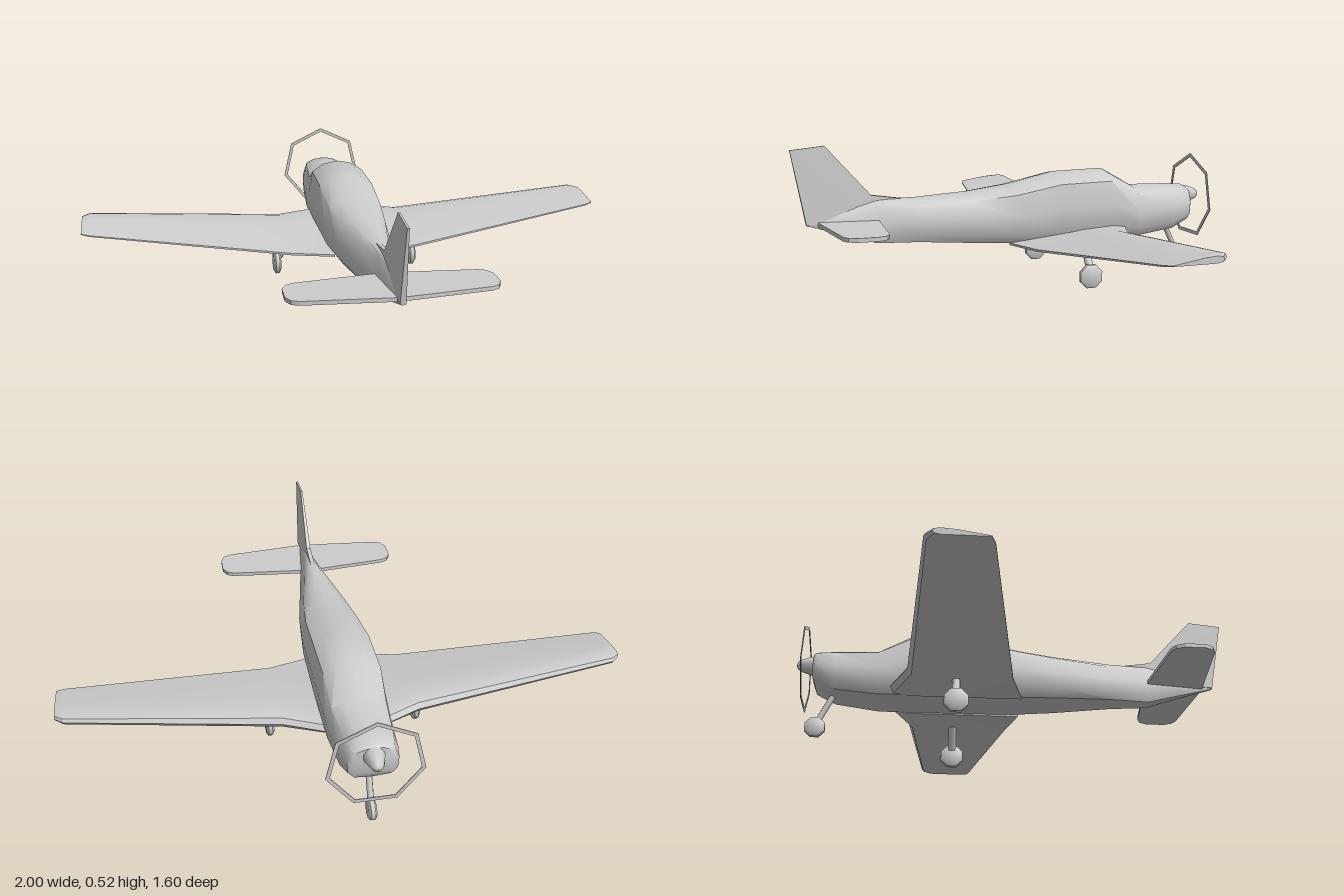
import * as THREE from 'three';
import { toCreasedNormals } from 'three/addons/utils/BufferGeometryUtils.js';

const material = new THREE.MeshStandardMaterial({ color: 0xcccccc });

function add(parent, name, geometry) {
  const mesh = new THREE.Mesh(geometry, material);
  mesh.name = name;
  parent.add(mesh);
  return mesh;
}

// Skin a list of closed cross-sections and cap both ends.
function loft(rings, crease) {
  const n = rings[0].length, last = rings.length - 1;
  const points = rings.flat();
  const index = [];
  for (let i = 0; i < last; i++) {
    for (let j = 0; j < n; j++) {
      const a = i * n + j, b = i * n + (j + 1) % n;
      index.push(a, a + n, b, b, a + n, b + n);
    }
  }
  for (const end of [0, last]) {
    const centre = rings[end].reduce((s, p) => s.add(p), new THREE.Vector3()).divideScalar(n);
    const c = points.push(centre) - 1;
    for (let j = 0; j < n; j++) {
      const a = end * n + j, b = end * n + (j + 1) % n;
      index.push(c, ...(end ? [b, a] : [a, b]));
    }
  }
  const geometry = new THREE.BufferGeometry().setFromPoints(points);
  geometry.setIndex(index);
  return toCreasedNormals(geometry, crease);
}

function polygon(corners) {
  return new THREE.Shape(corners.map(([x, y]) => new THREE.Vector2(x, y)));
}

// Thin plate centred on its own plane.
function plate(corners, depth) {
  const geometry = new THREE.ExtrudeGeometry(polygon(corners), { depth, bevelEnabled: false });
  return geometry.translate(0, 0, -depth / 2);
}

function strut(parent, from, to, radius) {
  const a = new THREE.Vector3(...from), b = new THREE.Vector3(...to);
  const mesh = add(parent, 'strut', new THREE.CylinderGeometry(radius, radius, a.distanceTo(b), 8));
  mesh.position.copy(a).add(b).multiplyScalar(0.5);
  mesh.quaternion.setFromUnitVectors(new THREE.Vector3(0, 1, 0), b.sub(a).normalize());
}

// Eight-sided wheel with chamfered shoulders, axle along x.
function wheel(parent, radius, width, x, y, z) {
  const h = width / 2;
  const profile = [[0, -h], [radius * 0.75, -h], [radius, -h * 0.5], [radius, h * 0.5], [radius * 0.75, h], [0, h]];
  const lathe = new THREE.LatheGeometry(profile.map(([r, t]) => new THREE.Vector2(r, t)), 8, Math.PI / 8);
  const mesh = add(parent, 'wheel', toCreasedNormals(lathe, 0.9));
  mesh.rotation.z = Math.PI / 2;
  mesh.position.set(x, y, z);
}

function fuselageGeometry() {
  // z, half width, bottom, top, narrowing of the upper corners
  const stations = [
    [-0.73, 0.07, 0.215, 0.315, 0.85],
    [-0.72, 0.085, 0.19, 0.323, 0.85],
    [-0.65, 0.098, 0.157, 0.328, 0.85],
    [-0.495, 0.11, 0.138, 0.332, 0.88],
    [-0.375, 0.115, 0.136, 0.4, 0.9],
    [-0.175, 0.115, 0.138, 0.396, 0.92],
    [0, 0.112, 0.141, 0.358, 0.9],
    [0.155, 0.098, 0.15, 0.338, 0.85],
    [0.36, 0.062, 0.163, 0.325, 0.75],
    [0.5, 0.038, 0.165, 0.325, 0.55],
    [0.63, 0.02, 0.206, 0.29, 0.5],
    [0.75, 0.004, 0.242, 0.252, 0.6],
  ];
  const side = [[0.55, 0.96], [0.96, 0.85], [1, 0.5], [0.96, 0.2], [0.72, 0.03]];
  return loft(stations.map(([z, w, low, high, narrow]) => {
    const at = (u, v) => new THREE.Vector3(u * w * (v > 0.7 ? narrow : 1), low + (high - low) * v, z);
    return [
      at(0, 1), ...side.map(([u, v]) => at(u, v)),
      at(0, 0), ...side.slice().reverse().map(([u, v]) => at(-u, v)),
    ];
  }), 0.8);
}

function wingGeometry() {
  // x, leading edge z, trailing edge z, bottom, top
  const stations = [
    [0.08, -0.455, 0.025, 0.14, 0.193],
    [0.24, -0.385, -0.018, 0.142, 0.199],
    [0.97, -0.335, -0.127, 0.228, 0.262],
    [1, -0.31, -0.14, 0.234, 0.257],
  ];
  const section = [[1, 0.16], [0.4, 0.85], [0.14, 1], [0.03, 0.85], [0, 0.5], [0.04, 0.15], [0.16, 0], [1, 0.02]];
  return loft(stations.map(([x, front, back, low, high]) => section.map(([u, v]) =>
    new THREE.Vector3(x, low + (high - low) * v, front + (back - front) * u))), 0.6);
}

export function createModel() {
  const model = new THREE.Group();
  model.name = 'lightAircraft';

  add(model, 'fuselage', fuselageGeometry());

  // Wings and main landing gear, mirrored
  const wing = wingGeometry();
  for (const [side, sign] of [['left', 1], ['right', -1]]) {
    const half = new THREE.Group();
    half.name = side + 'Side';
    half.scale.x = sign;
    add(half, side + 'Wing', wing);
    const gear = new THREE.Group();
    gear.name = side + 'MainGear';
    strut(gear, [0.21, 0.16, -0.215], [0.262, 0.07, -0.215], 0.015);
    wheel(gear, 0.045, 0.028, 0.27, 0.046, -0.215);
    half.add(gear);
    model.add(half);
  }

  // Tailplane with clipped tips
  const outline = [[0, 0.495], [0.31, 0.527], [0.335, 0.54], [0.35, 0.57], [0.35, 0.64], [0.335, 0.67], [0.31, 0.682], [0, 0.712]];
  const mirrored = outline.slice(1, -1).reverse().map(([x, z]) => [-x, z]);
  const tailplane = add(model, 'tailplane', plate([...outline, ...mirrored], 0.014));
  tailplane.rotation.x = Math.PI / 2;
  tailplane.position.y = 0.246;

  // Fin, tapering from root to top
  const fin = plate([[-0.75, 0.245], [-0.8, 0.508], [-0.68, 0.52], [-0.52, 0.34], [-0.4, 0.322], [-0.5, 0.26]], 0.02);
  const p = fin.attributes.position;
  for (let i = 0; i < p.count; i++) {
    const taper = 1 - 0.65 * (p.getY(i) - 0.245) / 0.275;
    p.setZ(i, p.getZ(i) * taper);
  }
  fin.computeVertexNormals();
  add(model, 'fin', fin).rotation.y = Math.PI / 2;

  // Spinner
  const cone = [[0.036, 0], [0.034, 0.02], [0.024, 0.05], [0.014, 0.066], [0, 0.07]];
  const spinner = add(model, 'spinner', new THREE.LatheGeometry(cone.map(([r, t]) => new THREE.Vector2(r, t)), 10));
  spinner.rotation.x = -Math.PI / 2;
  spinner.position.set(0, 0.282, -0.725);

  // Seven-sided propeller ring
  const corners = (r) => Array.from({ length: 7 }, (_, i) => {
    const a = Math.PI / 2 + i * Math.PI * 2 / 7;
    return [r * Math.cos(a), r * Math.sin(a)];
  });
  const ringShape = polygon(corners(0.166));
  ringShape.holes.push(polygon(corners(0.152)));
  const ring = add(model, 'propellerRing',
    new THREE.ExtrudeGeometry(ringShape, { depth: 0.003, bevelEnabled: false }));
  ring.position.set(0, 0.276, -0.764);

  // Nose gear
  const noseGear = new THREE.Group();
  noseGear.name = 'noseGear';
  strut(noseGear, [0, 0.175, -0.65], [0, 0.06, -0.705], 0.011);
  wheel(noseGear, 0.039, 0.028, 0, 0.041, -0.712);
  model.add(noseGear);

  // Rest the tyres on the ground
  const box = new THREE.Box3().setFromObject(model, true);
  model.position.y = -box.min.y;
  return model;
}
